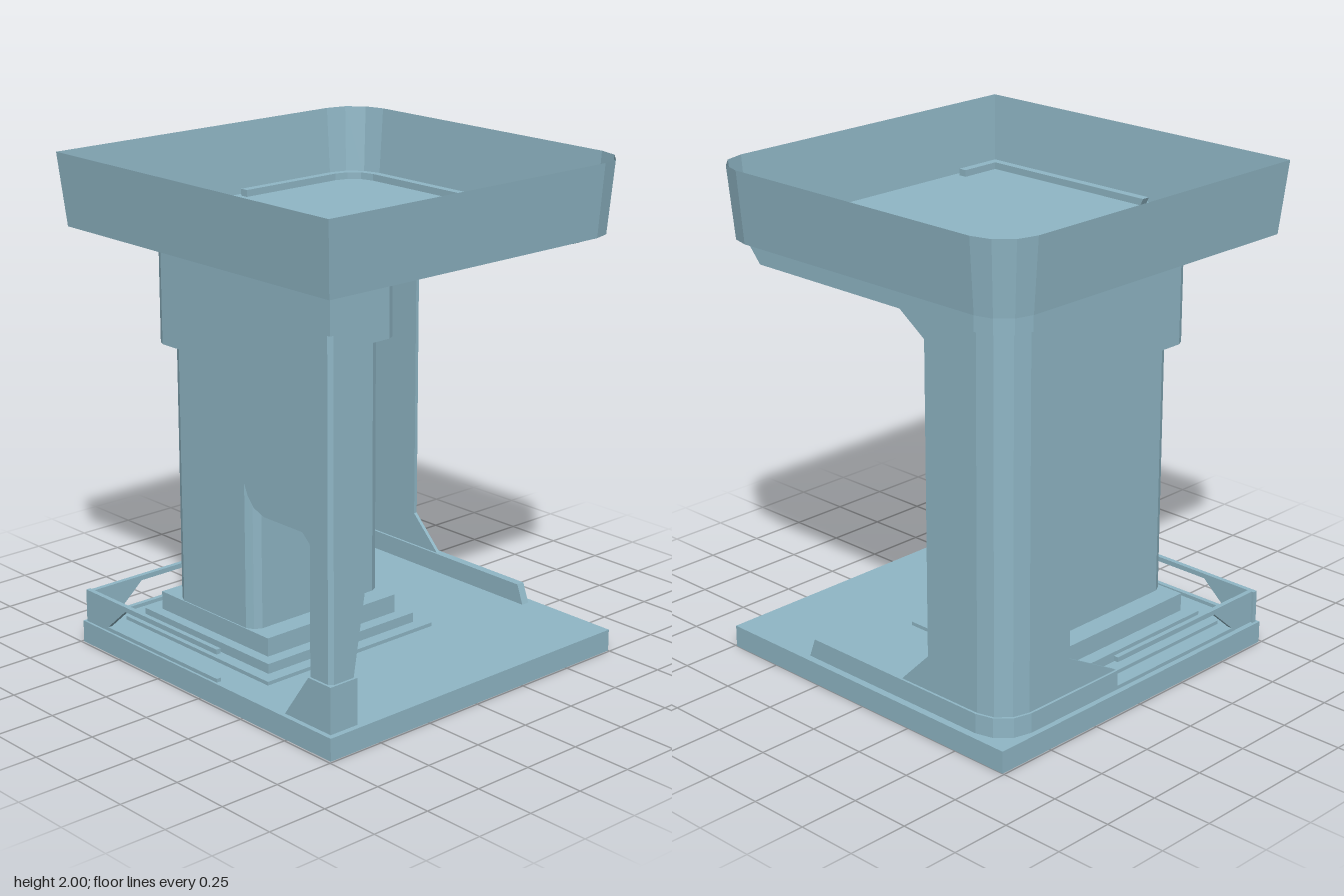
import * as THREE from 'three';

const steel = new THREE.MeshStandardMaterial({ color: 0x8fb6c5, side: THREE.DoubleSide });
steel.name = 'blueGreySteel';

const toShape = pts => new THREE.Shape(pts.map(p => new THREE.Vector2(p[0], p[1])));
const extrude = (pts, depth) => new THREE.ExtrudeGeometry(toShape(pts), { depth, bevelEnabled: false });

export function createModel() {
  const model = new THREE.Group();
  const add = (name, geometry) => {
    const mesh = new THREE.Mesh(geometry, steel);
    mesh.name = name;
    model.add(mesh);
  };
  // outline in x,y; spans z0..z0+t
  const panelXY = (name, pts, z0, t) => add(name, extrude(pts, t).translate(0, 0, z0));
  // outline in z,y; spans x0..x0+t
  const panelZY = (name, pts, x0, t) =>
    add(name, extrude(pts, t).rotateY(-Math.PI / 2).translate(x0 + t, 0, 0));
  // plan outline in x,z; spans y0..y1
  const prism = (name, pts, y0, y1) =>
    add(name, extrude(pts.map(([x, z]) => [x, -z]), y1 - y0).rotateX(-Math.PI / 2).translate(0, y0, 0));
  const block = (name, x0, x1, z0, z1, y0, y1) =>
    prism(name, [[x0, z0], [x1, z0], [x1, z1], [x0, z1]], y0, y1);
  // upright block with softly rounded vertical corners
  const roundedBlock = (name, x0, x1, z0, z1, y0, y1) => {
    const c = 0.045, m = 0.015;
    prism(name, [
      [x0, z0 + c], [x0 + m, z0 + m], [x0 + c, z0], [x1 - c, z0], [x1 - m, z0 + m], [x1, z0 + c],
      [x1, z1 - c], [x1 - m, z1 - m], [x1 - c, z1], [x0 + c, z1], [x0 + m, z1 - m], [x0, z1 - c],
    ], y0, y1);
  };

  // Base: shallow shell, open underneath
  const base = new THREE.BoxGeometry(1.49, 0.09, 1.485).translate(0.005, 0.045, 0);
  const faces = Array.from(base.index.array);
  faces.splice(18, 6);
  base.setIndex(faces);
  base.clearGroups();
  add('baseShell', base);

  // Stepped plinth, column and head
  block('plinthLower', -0.605, 0.255, -0.635, 0.24, 0.09, 0.105);
  block('plinthMiddle', -0.555, 0.205, -0.575, 0.185, 0.105, 0.145);
  block('plinthUpper', -0.51, 0.155, -0.52, 0.13, 0.145, 0.22);
  roundedBlock('column', -0.505, 0.16, -0.43, 0.04, 0.22, 1.27);
  roundedBlock('columnHead', -0.54, 0.2, -0.485, 0.09, 1.27, 1.65);

  // Rounded back corner: arc strip in plan around a fixed centre
  const C = 0.575, floorY = 1.712, bandTop = 1.74;
  const arc = r => [0, 1, 2, 3].map(i => {
    const a = i * Math.PI / 6;
    return [C + r * Math.sin(a), -C - r * Math.cos(a)];
  });
  const corner = (name, outer, t, y0, y1) =>
    prism(name, [...arc(outer - C), ...arc(outer - C - t).reverse()], y0, y1);
  corner('backCornerPanel', 0.71, 0.015, 0.09, floorY);
  corner('backCornerLowerBand', 0.72, 0.035, 0.09, 0.17);
  corner('backCornerUpperBand', 0.72, 0.035, 1.64, bandTop);

  // Back wall on the left half
  panelXY('backPanel', [
    [C, 0.09], [C, floorY], [0.1, floorY], [0.1, 1.04],
    [0.36, 0.82], [0.36, 0.31], [0.1, 0.17], [0.1, 0.09],
  ], -0.71, 0.015);
  panelXY('backLowerBand', [[C, 0.09], [C, 0.17], [0.1, 0.17], [0.1, 0.09]], -0.72, 0.035);
  panelXY('backUpperBand', [[C, 1.64], [C, bandTop], [0.095, bandTop], [0.095, 1.64]], -0.72, 0.035);

  // Left wall
  panelZY('leftPanel', [
    [-C, 0.09], [-C, floorY], [-0.19, floorY], [-0.19, 1.64], [-0.32, 1.55],
    [-0.32, 0.31], [-0.18, 0.17], [-0.18, 0.09],
  ], 0.695, 0.015);
  panelZY('leftLowerBand', [[-C, 0.09], [-C, 0.17], [0.3, 0.17], [0.33, 0.09]], 0.685, 0.035);
  panelZY('leftUpperBand', [[-C, 1.64], [-C, bandTop], [0.635, bandTop], [0.545, 1.64]], 0.685, 0.035);

  // Front right corner: two thin panels joined by a small chamfer
  panelXY('frontLegPanel', [
    [-0.695, 0.09], [-0.695, floorY], [-0.51, floorY], [-0.51, 0.8], [-0.6, 0.27], [-0.6, 0.09],
  ], 0.695, 0.015);
  panelZY('rightPanel', [
    [0.695, 0.09], [0.695, floorY], [-0.11, floorY], [0.26, 0.88], [0.295, 0.84],
    [0.35, 0.82], [0.56, 0.82], [0.6, 0.785], [0.6, 0.09],
  ], -0.71, 0.015);
  prism('frontLegChamfer', [[-0.71, 0.695], [-0.695, 0.71], [-0.695, 0.695]], 0.09, floorY);

  block('frontUpperBand', -0.72, -0.51, 0.685, 0.72, 1.575, bandTop);
  panelZY('rightUpperBand', [[0.72, 1.575], [0.72, bandTop], [-0.125, bandTop], [-0.05, 1.575]], -0.72, 0.035);
  block('frontFoot', -0.72, -0.59, 0.685, 0.72, 0.09, 0.275);
  panelZY('sideFoot', [[0.72, 0.09], [0.72, 0.275], [0.6, 0.275], [0.47, 0.09]], -0.72, 0.035);

  // Open rails meeting at the back right corner
  const rail = end => [
    [-0.73, 0.09], [end, 0.09], [end, 0.105], [-0.59, 0.105],
    [-0.475, 0.205], [end, 0.205], [end, 0.225], [-0.73, 0.225],
  ];
  panelXY('backRail', rail(0.1), -0.72, 0.02);
  panelZY('rightRail', rail(0.09), -0.73, 0.02);

  // Flared open tray, rounded at the two left corners
  const outline = (h, r) => {
    const pts = [[-h, h], [-h, -h]];
    for (const s of [-1, 1]) {
      for (let i = 0; i <= 3; i++) {
        const a = (s < 0 ? i : 3 - i) * Math.PI / 6;
        pts.push([h - r + r * Math.sin(a), s * (h - r + r * Math.cos(a))]);
      }
    }
    return pts;
  };
  const low = outline(0.745, 0.145), high = outline(0.77, 0.165);
  const pos = [], index = [], n = low.length;
  for (let i = 0; i < n; i++) {
    const j = (i + 1) % n;
    pos.push(low[i][0], floorY, low[i][1], high[i][0], 2, high[i][1]);
    index.push(2 * i, 2 * i + 1, 2 * j, 2 * j, 2 * i + 1, 2 * j + 1);
  }
  const indexed = new THREE.BufferGeometry();
  indexed.setAttribute('position', new THREE.Float32BufferAttribute(pos, 3));
  indexed.setIndex(index);
  const wall = indexed.toNonIndexed();
  wall.computeVertexNormals();
  add('trayWall', wall);
  add('trayFloor', new THREE.ShapeGeometry(toShape(low.map(([x, z]) => [x, -z])))
    .rotateX(-Math.PI / 2).translate(0, floorY, 0));

  return model;
}
